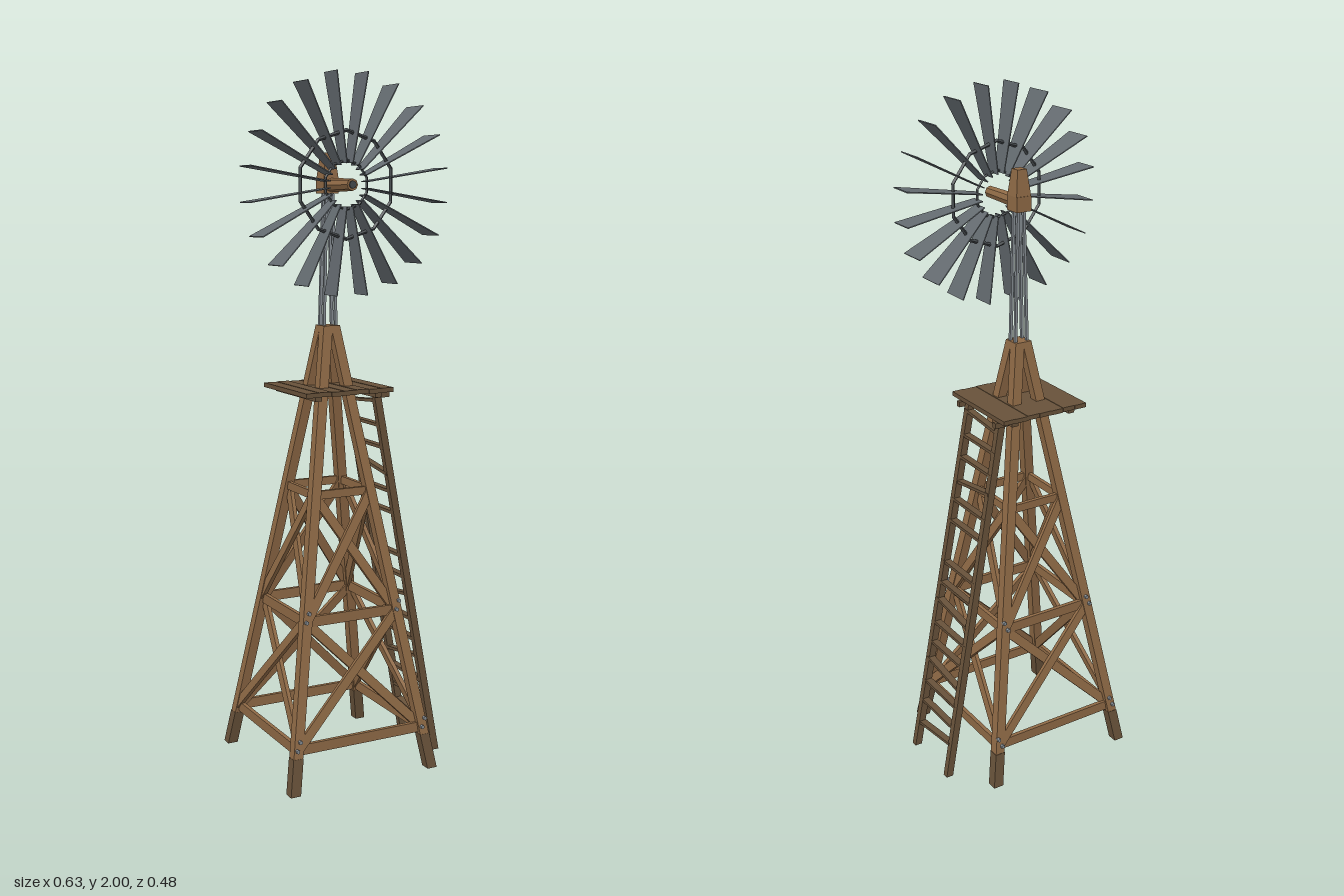
import * as THREE from 'three';

const mat = (name, color) => {
  const m = new THREE.MeshStandardMaterial({ color, flatShading: true });
  m.name = name;
  return m;
};

export function createModel() {
  const wood = mat('warm wood', 0x8f6a46);
  const darkWood = mat('dark wood', 0x68523a);
  const blade = mat('blade steel', 0x646b70);
  const pipe = mat('pipe grey', 0x878e94);
  const iron = mat('dark iron', 0x44494c);

  const root = new THREE.Group();
  root.name = 'windPump';
  const tower = new THREE.Group();
  tower.name = 'tower';
  tower.position.x = -0.017;
  root.add(tower);

  const V = (x, y, z) => new THREE.Vector3(x, y, z);
  const add = (parent, name, geo, material, x = 0, y = 0, z = 0) => {
    const m = new THREE.Mesh(geo, material);
    m.name = name;
    m.position.set(x, y, z);
    parent.add(m);
    return m;
  };

  // Box running from a to b: h wide in the face, d deep along the face normal
  const beam = (parent, name, a, b, h, d, normal, material) => {
    const dir = b.clone().sub(a);
    const m = add(parent, name, new THREE.BoxGeometry(dir.length(), h, d), material);
    const ex = dir.normalize();
    const ey = normal.clone().cross(ex).normalize();
    const ez = ex.clone().cross(ey);
    m.quaternion.setFromRotationMatrix(new THREE.Matrix4().makeBasis(ex, ey, ez));
    m.position.copy(a).add(b).multiplyScalar(0.5);
    return m;
  };

  // Post with level ends, sheared from bottom point a to top point b
  const post = (parent, name, a, b, w, d, material) => {
    const geo = new THREE.BoxGeometry(w, b.y - a.y, d);
    const p = geo.attributes.position;
    for (let i = 0; i < p.count; i++) {
      const end = p.getY(i) < 0 ? a : b;
      p.setXYZ(i, p.getX(i) + end.x, end.y, p.getZ(i) + end.z);
    }
    geo.computeVertexNormals();
    return add(parent, name, geo, material);
  };

  // Legs lean inwards towards the peak
  const lean = y => 0.2225 - 0.163 * (y - 0.01);
  const levels = [0.13, 0.48, 0.83];
  for (const sx of [-1, 1]) {
    for (const sz of [-1, 1]) {
      const at = y => V(sx * lean(y), y, sz * lean(y));
      post(tower, 'foot', at(0.008), at(0.11), 0.031, 0.031, darkWood);
      post(tower, 'leg', at(0.11), at(1.305), 0.029, 0.029, wood);
      // Bolt heads at the lower joints
      for (const y of levels.slice(0, 2)) {
        for (const o of [-1, 1]) {
          const b = add(tower, 'bolt', new THREE.CylinderGeometry(0.006, 0.006, 0.012, 6), pipe,
            sx * lean(y) + o * 0.005, y + 0.015 + o * 0.012, sz * (lean(y + 0.015 + o * 0.012) + 0.016));
          b.rotation.x = Math.PI / 2;
        }
      }
    }
  }

  // Girts and cross braces on each of the four sides
  const out = V(0, 0.161, 0.987);
  for (let s = 0; s < 4; s++) {
    const side = new THREE.Group();
    side.name = 'bracing';
    side.rotation.y = s * Math.PI / 2;
    tower.add(side);
    const at = (sx, y, off = 0) => V(sx * lean(y), y, lean(y) + off);
    levels.forEach((y, i) => {
      beam(side, 'girt', at(-1, y), at(1, y), i < 2 ? 0.03 : 0.024, 0.012, V(0, 0, 1), wood);
      if (i === 2) return;
      const top = levels[i + 1];
      for (const sx of [-1, 1]) {
        beam(side, 'crossBrace', at(-sx, y, sx * 0.006), at(sx, top, sx * 0.006), 0.027, 0.012, out, wood);
      }
    });
  }

  // Platform of seven planks on two bearers
  const platform = new THREE.Group();
  platform.name = 'platform';
  tower.add(platform);
  for (let i = -3; i <= 3; i++) {
    add(platform, 'plank', new THREE.BoxGeometry(0.039, 0.013, 0.28), darkWood, i * 0.0397, 1.125 + (i % 2) * 0.001, 0);
  }
  for (const s of [-1, 1]) {
    add(platform, 'bearer', new THREE.BoxGeometry(0.02, 0.014, 0.26), darkWood, s * 0.095, 1.112, 0);
  }

  // Leaning ladder with a missing rung and a few crooked ones
  const ladder = new THREE.Group();
  ladder.name = 'ladder';
  root.add(ladder);
  const ladX = y => 0.298 - 0.182 * y;
  for (const s of [-1, 1]) {
    post(ladder, 'ladderRail', V(ladX(0), 0, s * 0.097), V(ladX(1.118), 1.118, s * 0.083), 0.022, 0.019, darkWood);
    add(ladder, 'ladderBracket', new THREE.BoxGeometry(0.045, 0.016, 0.015), darkWood, 0.105, 1.108, s * 0.098);
  }
  const crooked = { 0: -0.013, 3: 0.012, 6: 0.012, 12: -0.013, 15: 0.008 };
  for (let i = 0; i < 16; i++) {
    if (i === 9) continue;
    const y = 0.092 + i * 0.066, t = crooked[i] || 0;
    beam(ladder, 'rung', V(ladX(y), y - t, -0.092), V(ladX(y), y + t, 0.092), 0.021, 0.009, V(0, 1, 0), darkWood);
  }

  // Four pipes carrying the head
  for (const sx of [-1, 1]) {
    for (const sz of [-1, 1]) {
      beam(tower, 'mastPipe', V(sx * 0.02, 1.27, sz * 0.013), V(sx * 0.009, 1.69, sz * 0.01),
        0.008, 0.008, V(0, 0, 1), pipe);
    }
  }

  // Head block: straight base with a tapering cap
  const head = new THREE.Group();
  head.name = 'head';
  head.position.y = 1.7;
  tower.add(head);
  add(head, 'headBlock', new THREE.BoxGeometry(0.046, 0.042, 0.05), wood, 0, -0.002, -0.002);
  const cap = add(head, 'headCap', new THREE.CylinderGeometry(0.021, 0.033, 0.072, 4), wood, 0, 0.055, -0.002);
  cap.geometry.rotateY(Math.PI / 4);
  const shaft = add(head, 'shaft', new THREE.CylinderGeometry(0.017, 0.02, 0.15, 8), wood, 0, 0, 0.073);
  shaft.rotation.x = Math.PI / 2;
  const nut = add(head, 'shaftNut', new THREE.CylinderGeometry(0.011, 0.011, 0.006, 8), iron, 0, 0, 0.149);
  nut.rotation.x = Math.PI / 2;

  // Wheel: two ten-sided rings and twenty edge-on blades
  const wheel = new THREE.Group();
  wheel.name = 'wheel';
  wheel.position.set(0, 0, 0.112);
  head.add(wheel);
  for (const [r, tube] of [[0.148, 0.0055], [0.067, 0.004]]) {
    const ring = add(wheel, 'wheelRing', new THREE.TorusGeometry(r, tube, 4, 10), iron);
    ring.rotation.z = Math.PI / 10;
  }
  const inner = 0.06, outer = 0.307;
  for (let i = 0; i < 20; i++) {
    const a = (i + 0.5) * Math.PI / 10;
    const tip = 0.068 + 0.025 * Math.abs(Math.sin(2 * a));
    const geo = new THREE.BoxGeometry(outer - inner, 0.003, 1);
    const p = geo.attributes.position;
    for (let k = 0; k < p.count; k++) {
      p.setZ(k, p.getZ(k) * (p.getX(k) < 0 ? 0.046 : tip));
    }
    geo.translate((outer + inner) / 2, 0, 0);
    geo.computeVertexNormals();
    add(wheel, 'blade', geo, blade).rotation.z = a;
  }

  return root;
}
